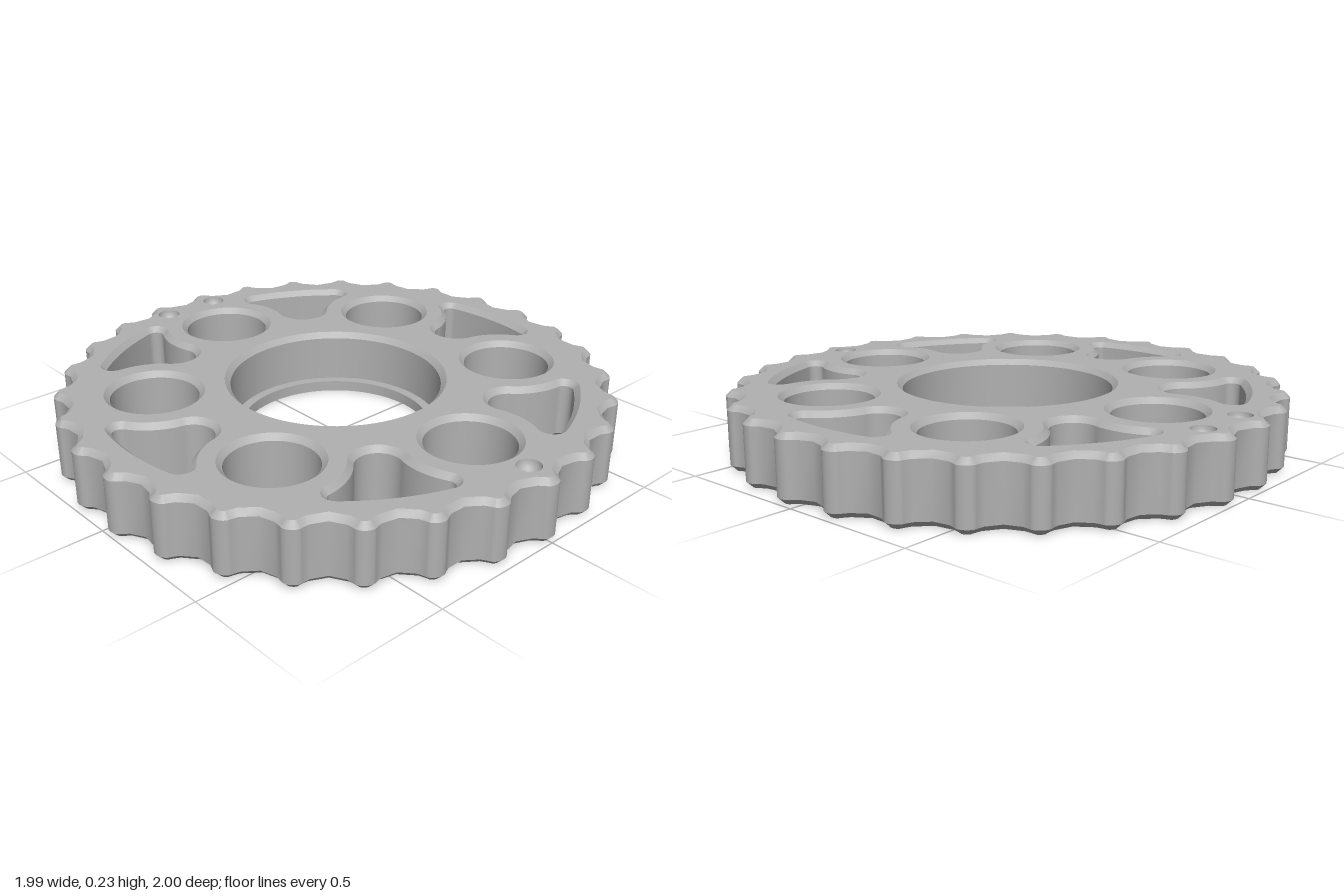
import * as THREE from 'three';
import { mergeGeometries } from 'three/addons/utils/BufferGeometryUtils.js';

const H = 0.23, CH = 0.02;
const V = (x, y) => new THREE.Vector2(x, y);
const polar = (r, a) => V(r * Math.cos(a), r * Math.sin(a));

// Points of an arc, leaving out its end so that arcs can be chained
function arc(c, r, a0, a1, n) {
  return Array.from({ length: n }, (_, i) => polar(r, a0 + (a1 - a0) * i / n).add(c));
}
const circle = (c, r, n = 64) => arc(c, r, Math.PI * 2, 0, n); // clockwise, as a hole

// Move a closed outline into the material by d
function inset(pts, d) {
  const n = pts.length;
  return pts.map((p, i) => {
    const t = pts[(i + 1) % n].clone().sub(pts[(i + n - 1) % n]).normalize();
    return V(p.x - t.y * d, p.y + t.x * d);
  });
}

// Wall through [height, inset] levels, creased at each level
function wall(pts, levels) {
  const n = pts.length, strips = [];
  for (let k = 0; k + 1 < levels.length; k++) {
    const pos = [], idx = [];
    for (const [y, d] of [levels[k], levels[k + 1]])
      for (const p of inset(pts, d)) pos.push(p.x, y, -p.y);
    for (let i = 0; i < n; i++) {
      const j = (i + 1) % n;
      idx.push(i, j, n + j, i, n + j, n + i);
    }
    const g = new THREE.BufferGeometry();
    g.setAttribute('position', new THREE.Float32BufferAttribute(pos, 3));
    g.setIndex(idx);
    g.computeVertexNormals();
    strips.push(g);
  }
  return mergeGeometries(strips);
}

// Cycloidal rim with 29 lobes, one of them on +x
function rimOutline() {
  const R = 1.061, pin = 0.088, e = 0.027, N = 30, steps = 29 * 24;
  return Array.from({ length: steps }, (_, i) => {
    const t = i / steps * Math.PI * 2;
    const psi = Math.atan2(Math.sin((1 - N) * t), R / (e * N) - Math.cos((1 - N) * t));
    return V(
      -(R * Math.cos(t) - pin * Math.cos(t + psi) - e * Math.cos(N * t)),
      -(R * Math.sin(t) - pin * Math.sin(t + psi) - e * Math.sin(N * t)));
  });
}

// Rounded three-cornered window whose flanks follow the neighbouring round holes
function windowOutline(turn) {
  const flank = 0.255, fillet = 0.03, outer = 0.85, nose = 0.08;
  const hole = polar(0.65, Math.PI / 6), rc = outer - fillet;
  const th = Math.PI / 6 - Math.acos((0.65 ** 2 + rc ** 2 - (flank + fillet) ** 2) / (2 * 0.65 * rc));
  const corner = polar(rc, th), base = V(0.64, 0);
  const a = Math.atan2(corner.y - hole.y, corner.x - hole.x);
  const b = Math.atan2(base.y - hole.y, base.x - hole.x);
  const mirror = p => V(p.x, -p.y);
  return [
    ...arc(V(0, 0), outer, -th, th, 14),
    ...arc(corner, fillet, th, a + Math.PI, 12),
    ...arc(hole, flank, a, b, 14),
    ...arc(base, nose, b + Math.PI, Math.PI - b, 24),
    ...arc(mirror(hole), flank, -b, -a, 14),
    ...arc(mirror(corner), fillet, -a - Math.PI, -th, 12),
  ].map(p => p.rotateAround(V(0, 0), turn)).reverse();
}

export function createModel() {
  const group = new THREE.Group();
  const steel = new THREE.MeshStandardMaterial({ color: 0xb0b0b0 });
  steel.name = 'grey metal';
  const add = (name, geo) => {
    const m = new THREE.Mesh(geo, steel);
    m.name = name;
    group.add(m);
    return m;
  };

  const chamfered = [[0, CH], [CH, 0], [H - CH, 0], [H, CH]];
  const bore = [[0, 0], [0.04, 0], [0.04, 0.035], [H - CH, 0.035], [H, 0.055]];
  const rim = rimOutline();
  const openings = [{ name: 'centreBore', pts: circle(V(0, 0), 0.345, 96), levels: bore }];
  for (let i = 0; i < 6; i++) {
    const a = i * Math.PI / 3;
    openings.push({ name: 'roundHole', pts: circle(polar(0.65, a), 0.156), levels: chamfered });
    openings.push({ name: 'window', pts: windowOutline(a + Math.PI / 6), levels: chamfered });
  }
  const dimples = [V(0.89, 0), V(-0.89, 0.112), V(-0.89, -0.112)];
  const dimpleR = 0.042;

  // Walls of the rim and of every opening
  add('lobedRim', wall(rim, chamfered));
  for (const o of openings) add(o.name, wall(o.pts, o.levels));

  // Flat faces
  for (const top of [true, false]) {
    const shape = new THREE.Shape(inset(rim, CH));
    for (const o of openings) {
      const d = o.levels[top ? o.levels.length - 1 : 0][1];
      shape.holes.push(new THREE.Path(inset(o.pts, d)));
    }
    for (const c of dimples) shape.holes.push(new THREE.Path(circle(c, dimpleR, 32)));
    const geo = new THREE.ShapeGeometry(shape);
    // the shape is symmetric front to back, so the underside is a plain half turn
    geo.rotateX(top ? -Math.PI / 2 : Math.PI / 2);
    add(top ? 'topFace' : 'bottomFace', geo.translate(0, top ? H : 0, 0));
  }

  // Round dimples on both faces
  const bowl = Array.from({ length: 9 }, (_, i) => polar(dimpleR, -i / 8 * Math.PI / 2));
  bowl[8].x = 0;
  for (const c of dimples) for (const top of [true, false]) {
    const m = add('markDimple', new THREE.LatheGeometry(bowl, 32));
    m.position.set(c.x, top ? H : 0, -c.y);
    if (!top) m.rotation.x = Math.PI;
  }

  group.children.forEach(m => { m.position.x -= 0.003; });
  return group;
}
